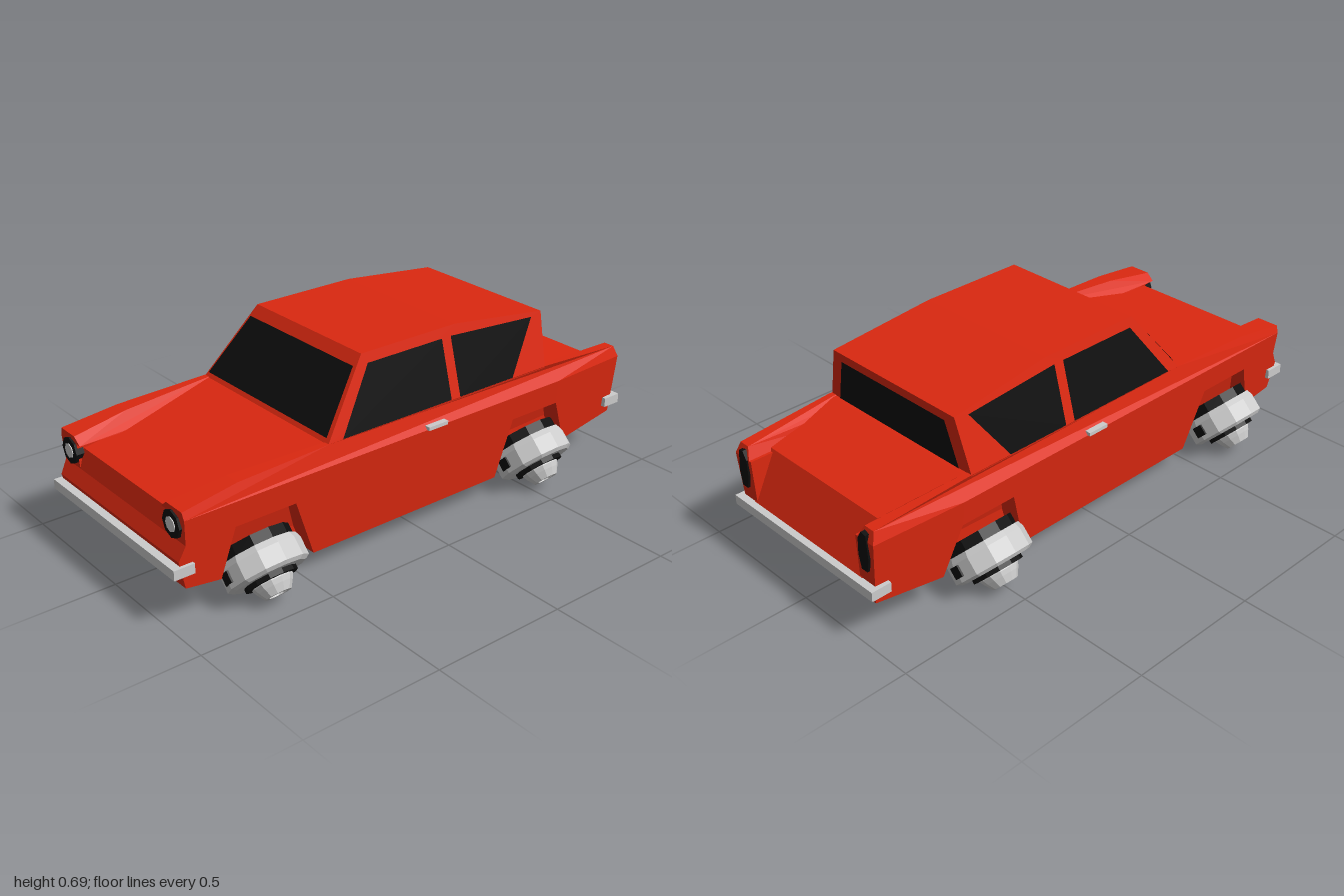
import * as THREE from 'three';

const RED = new THREE.MeshStandardMaterial({ color: 0xdb2810, flatShading: true });
const GREY = new THREE.MeshStandardMaterial({ color: 0xcccccc, flatShading: true });
const BLACK = new THREE.MeshStandardMaterial({ color: 0x0d0d0d, flatShading: true });
const GLASS = new THREE.MeshStandardMaterial({ color: 0x0d0d0d, side: THREE.DoubleSide });

const lerp = (x, x0, x1, a, b) => THREE.MathUtils.mapLinear(THREE.MathUtils.clamp(x, x0, x1), x0, x1, a, b);

function add(parent, name, geometry, material) {
  const g = geometry.index ? geometry.toNonIndexed() : geometry;
  g.computeVertexNormals();
  const mesh = new THREE.Mesh(g, material);
  mesh.name = name;
  parent.add(mesh);
  return mesh;
}

// Side profile extruded across z; lo/hi give each cap's z from (x, y)
function slab(profile, lo, hi) {
  const shape = new THREE.Shape(profile.map(([x, y]) => new THREE.Vector2(x, y)));
  const g = new THREE.ExtrudeGeometry(shape, { depth: 1, bevelEnabled: false });
  const p = g.attributes.position;
  for (let i = 0; i < p.count; i++) {
    p.setZ(i, (p.getZ(i) > 0.5 ? hi : lo)(p.getX(i), p.getY(i)));
  }
  return g;
}

// Flat convex pane through the given corners
function pane(corners) {
  const flat = [];
  for (let i = 1; i < corners.length - 1; i++) flat.push(...corners[0], ...corners[i], ...corners[i + 1]);
  const g = new THREE.BufferGeometry();
  g.setAttribute('position', new THREE.Float32BufferAttribute(flat, 3));
  return g;
}

const lathe = (points, sides = 12) =>
  new THREE.LatheGeometry(points.map(([r, y]) => new THREE.Vector2(r, y)), sides);

// Wheel folded out by 45 degrees; its axle is local y, pointing outward
function makeWheel() {
  const wheel = new THREE.Group();
  wheel.name = 'wheel';
  add(wheel, 'innerDisc', new THREE.CylinderGeometry(0.125, 0.125, 0.04, 12).translate(0, -0.062, 0), BLACK);
  add(wheel, 'tyre', lathe([[0, -0.046], [0.133, -0.046], [0.141, -0.025], [0.141, 0.036], [0.125, 0.046], [0, 0.046]]), GREY);
  add(wheel, 'darkRing', new THREE.CylinderGeometry(0.09, 0.09, 0.016, 12).translate(0, 0.054, 0), BLACK);
  add(wheel, 'hub', lathe([[0.07, 0.046], [0.07, 0.066], [0.062, 0.082], [0.045, 0.108], [0.032, 0.108], [0.03, 0.09]]), GREY);
  add(wheel, 'hubCentre', new THREE.CylinderGeometry(0.032, 0.032, 0.03, 12).translate(0, 0.082, 0), BLACK);
  for (const s of [-1, 1]) {
    add(wheel, 'tyreNotch', new THREE.BoxGeometry(0.02, 0.04, 0.045).translate(s * 0.132, 0, 0), BLACK);
  }
  return wheel;
}

export function createModel() {
  const car = new THREE.Group();
  car.name = 'car';

  // Central body: bonnet, floor and sloping boot lid
  const coreHalf = (x, y) => (y > 0.33 ? 0.335 : 0.28);
  add(car, 'centralBody', slab([
    [-0.95, 0.145], [-0.46, 0.08], [0.36, 0.08], [0.97, 0.16], [0.98, 0.22], [0.89, 0.4],
    [0.6, 0.453], [-0.4, 0.453], [-0.93, 0.37], [-0.95, 0.3], [-0.975, 0.25],
  ], (x, y) => -coreHalf(x, y), coreHalf), RED);

  // Cabin, leaning in toward the roof
  const cabinHalf = (x, y) => lerp(y, 0.455, 0.695, 0.352, 0.285);
  add(car, 'cabin', slab([
    [-0.4, 0.45], [0.585, 0.45], [0.603, 0.647], [0.2, 0.695], [-0.21, 0.695],
  ], (x, y) => -cabinHalf(x, y), cabinHalf), RED);

  // Windscreen and rear window
  add(car, 'windscreen', pane([
    [-0.392, 0.47, 0.335], [-0.392, 0.47, -0.335], [-0.242, 0.66, -0.283], [-0.242, 0.66, 0.283],
  ]), GLASS);
  add(car, 'rearWindow', pane([
    [0.591, 0.457, 0.3], [0.591, 0.457, -0.3], [0.606, 0.62, -0.255], [0.606, 0.62, 0.255],
  ]), GLASS);

  // Side panels with wheel arches, and the shoulders that form bonnet edges and tail fins
  const sill = [
    [-0.975, 0.25], [-0.95, 0.145], [-0.82, 0.126], [-0.77, 0.3], [-0.54, 0.3], [-0.46, 0.08],
    [0.36, 0.08], [0.42, 0.3], [0.64, 0.3], [0.71, 0.125], [0.97, 0.16], [0.98, 0.39],
    [0.64, 0.39], [-0.955, 0.39], [-0.95, 0.3],
  ];
  const shoulder = [
    [-0.955, 0.39], [0.64, 0.39], [0.98, 0.39], [0.965, 0.43], [0.6, 0.455],
    [-0.4, 0.455], [-0.75, 0.443], [-0.957, 0.416],
  ];
  const taper = (x) => lerp(x, 0.64, 0.98, 0, 0.02);
  const sillOut = (x, y) => lerp(y, 0.08, 0.39, 0.348, 0.375) - taper(x);
  const shoulderOut = (x, y) => lerp(y, 0.39, 0.455, 0.375, 0.353) - taper(x);
  const shoulderIn = (x, y) => (y < 0.4
    ? (x > 0 ? 0.28 : 0.25)
    : x < 0 ? lerp(x, -0.95, -0.4, 0.28, 0.33) : lerp(x, 0.6, 0.965, 0.33, 0.3));

  const sideWindows = [
    [[-0.34, 0.457], [0.13, 0.457], [0.13, 0.662], [-0.192, 0.662]],
    [[0.17, 0.457], [0.42, 0.457], [0.55, 0.638], [0.17, 0.662]],
  ];
  const tailLight = [[0.298, 0.28], [0.325, 0.28], [0.334, 0.33], [0.326, 0.415], [0.305, 0.42], [0.288, 0.39], [0.286, 0.33]];

  for (const s of [1, -1]) {
    const strip = (profile, inner, outer) => (s > 0
      ? slab(profile, inner, outer)
      : slab(profile, (x, y) => -outer(x, y), (x, y) => -inner(x, y)));
    add(car, 'sidePanel', strip(sill, () => 0.27, sillOut), RED);
    add(car, 'shoulder', strip(shoulder, shoulderIn, shoulderOut), RED);

    for (const w of sideWindows) {
      add(car, 'sideWindow', pane(w.map(([x, y]) => [x, y, s * (cabinHalf(x, y) + 0.003)])), GLASS);
    }

    add(car, 'doorHandle', new THREE.BoxGeometry(0.085, 0.013, 0.025).translate(0.045, 0.397, s * 0.373), GREY);

    // Headlight with pale lens, and upright tail light
    for (const [name, r, depth, mat] of [['headlight', 0.048, 0.03, BLACK], ['headlightLens', 0.026, 0.036, GREY]]) {
      add(car, name, new THREE.CylinderGeometry(r, r, depth, 8).rotateZ(Math.PI / 2).translate(-0.948, 0.355, s * 0.31), mat);
    }
    const lamp = new THREE.Shape(tailLight.map(([z, y]) => new THREE.Vector2(-s * z, y)));
    add(car, 'tailLight', new THREE.ExtrudeGeometry(lamp, { depth: 0.025, bevelEnabled: false })
      .rotateY(Math.PI / 2).translate(0.96, 0, 0), BLACK);

    // Bumper ends wrapping round the corners
    add(car, 'frontBumperEnd', new THREE.BoxGeometry(0.07, 0.035, 0.03).translate(-0.96, 0.217, s * 0.358), GREY);
    add(car, 'rearBumperEnd', new THREE.BoxGeometry(0.07, 0.035, 0.025).translate(0.96, 0.212, s * 0.346), GREY);

    for (const x of [-0.67, 0.53]) {
      const wheel = makeWheel();
      wheel.position.set(x, 0.13, s * 0.365);
      wheel.rotation.x = s * Math.PI * 0.75;
      car.add(wheel);
    }
  }

  // Bumper bars
  add(car, 'frontBumper', new THREE.BoxGeometry(0.03, 0.035, 0.746).translate(-0.985, 0.217, 0), GREY);
  add(car, 'rearBumper', new THREE.BoxGeometry(0.03, 0.035, 0.717).translate(0.985, 0.212, 0), GREY);

  return car;
}
